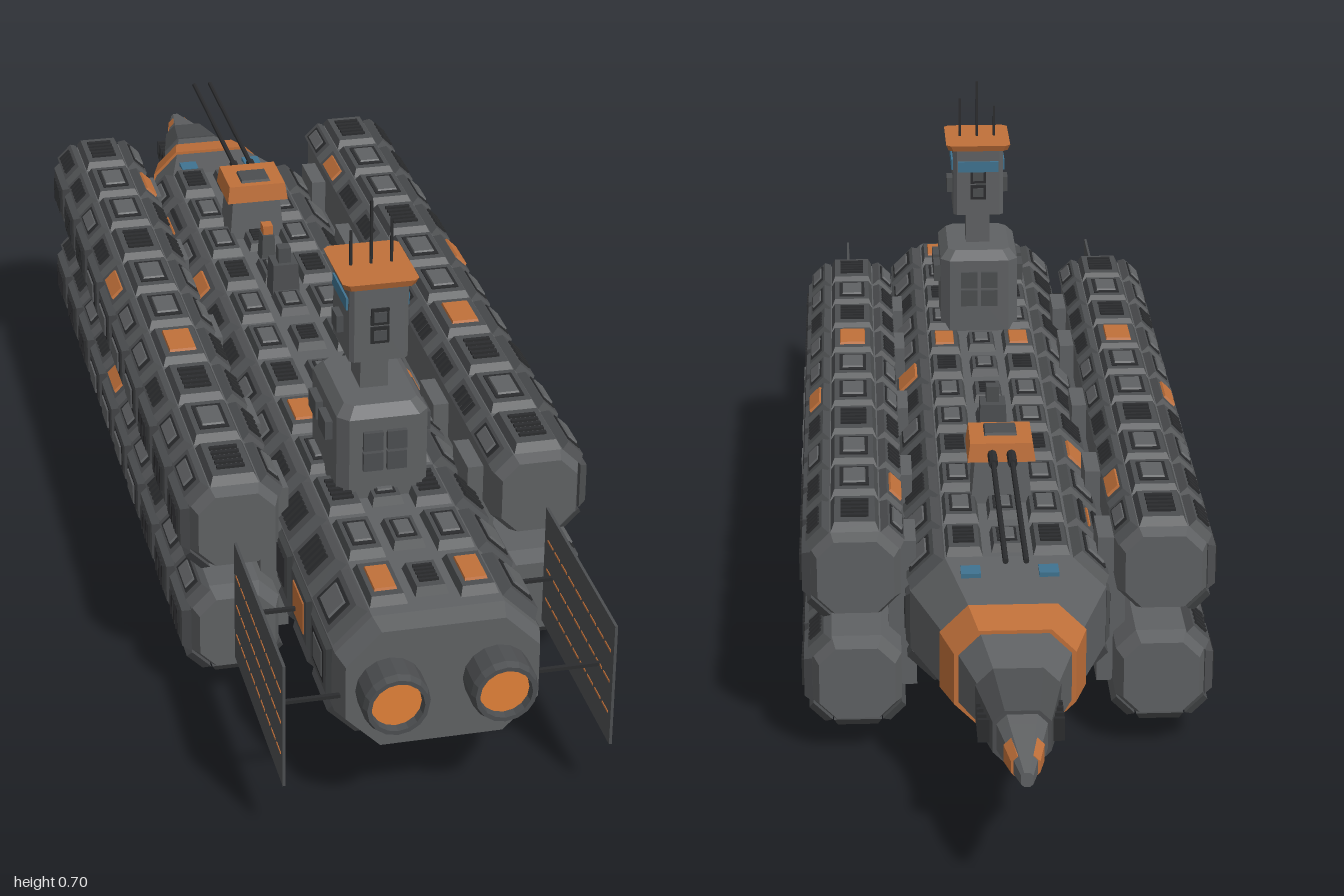
import * as THREE from 'three';
import { mergeGeometries } from 'three/addons/utils/BufferGeometryUtils.js';

const mat = (color) => new THREE.MeshStandardMaterial({ color, flatShading: true, side: THREE.DoubleSide });
const M = {
  hull: mat(0x5f6163), plate: mat(0x4c4e50), dark: mat(0x2b2c2e),
  orange: mat(0xc0703a), glow: mat(0xe08038), glass: mat(0x3f7390),
};

// Collects pieces by colour, then merges each colour into one mesh
class Part {
  constructor(name) { this.name = name; this.lists = {}; }
  add(color, geo, matrix) {
    const g = geo.index ? geo.toNonIndexed() : geo;
    g.deleteAttribute('uv');
    if (matrix) g.applyMatrix4(matrix);
    (this.lists[color] ??= []).push(g);
    return this;
  }
  // Axis-aligned block from min/max corners, top optionally tapered
  block(color, x0, x1, y0, y1, z0, z1, taper = 1) {
    return this.add(color, slab(x1 - x0, y1 - y0, z1 - z0, taper),
      new THREE.Matrix4().makeTranslation((x0 + x1) / 2, y0, (z0 + z1) / 2));
  }
  build(parent) {
    const group = new THREE.Group();
    group.name = this.name;
    for (const [color, list] of Object.entries(this.lists)) {
      const mesh = new THREE.Mesh(mergeGeometries(list), M[color]);
      mesh.name = `${this.name} ${color}`;
      group.add(mesh);
    }
    parent.add(group);
  }
}

// Box standing on y = 0 whose top face is shrunk
function slab(w, h, d, taper = 1) {
  const g = new THREE.BoxGeometry(w, h, d).translate(0, h / 2, 0);
  const p = g.attributes.position;
  for (let i = 0; i < p.count; i++)
    if (p.getY(i) > h / 2) p.setXYZ(i, p.getX(i) * taper, h, p.getZ(i) * taper);
  g.computeVertexNormals();
  return g;
}

function octagon(cx, cy, hw, hh, c) {
  return [[hw, -hh + c], [hw, hh - c], [hw - c, hh], [c - hw, hh],
    [-hw, hh - c], [-hw, c - hh], [c - hw, -hh], [hw - c, -hh]].map(([x, y]) => [cx + x, cy + y]);
}

// Octagonal sections [z, cx, cy, hw, hh, c], ordered from +z to -z
function loft(sections) {
  const rings = sections.map(([z, ...o]) => octagon(...o).map(([x, y]) => [x, y, z]));
  const v = [], last = rings[rings.length - 1];
  for (let r = 0; r < rings.length - 1; r++)
    for (let i = 0; i < 8; i++) {
      const j = (i + 1) % 8, a = rings[r], b = rings[r + 1];
      v.push(...a[i], ...b[i], ...b[j], ...a[i], ...b[j], ...a[j]);
    }
  for (let i = 1; i < 7; i++)
    v.push(...rings[0][0], ...rings[0][i], ...rings[0][i + 1], ...last[0], ...last[i + 1], ...last[i]);
  const g = new THREE.BufferGeometry();
  g.setAttribute('position', new THREE.Float32BufferAttribute(v, 3));
  g.computeVertexNormals();
  return g;
}

// Matrix at the middle of octagon face k (0 = up, clockwise), local +y outward
function faceMatrix(k, [cx, cy, hw, hh, c], z, shift = 0) {
  const a = k * Math.PI / 4, s = Math.sign(Math.round(Math.sin(a) * 9)), t = Math.sign(Math.round(Math.cos(a) * 9));
  const cut = k % 2 ? c / 2 : 0;
  return new THREE.Matrix4().makeTranslation(cx + s * (hw - cut), cy + t * (hh - cut), z)
    .multiply(new THREE.Matrix4().makeRotationZ(-a))
    .multiply(new THREE.Matrix4().makeTranslation(shift, 0, 0));
}
const faceWidth = (k, [, , hw, hh, c]) => k % 2 ? c * Math.SQRT2 : 2 * ((k % 4 ? hh : hw) - c);

// Armour plate: 0 vents, 1 hatch, 2 twin ribs, 3 coloured hatch
function plate(part, m, w, len, h, style) {
  const put = (color, pw, ph, pd, x, y, z, t = 1) =>
    part.add(color, slab(pw, ph, pd, t), m.clone().multiply(new THREE.Matrix4().makeTranslation(x, y, z)));
  put('plate', w, h, len, 0, 0, 0, 0.84);
  if (style === 0) {
    for (let i = -2; i <= 2; i++) put('dark', w * 0.58, h * 0.3, len * 0.06, 0, h, i * len * 0.12);
  } else if (style === 1) {
    put('dark', w * 0.62, h * 0.15, len * 0.62, 0, h, 0);
    put('hull', w * 0.5, h * 0.35, len * 0.5, 0, h, 0, 0.9);
  } else if (style === 2) {
    for (const s of [-1, 1]) put('dark', w * 0.12, h * 0.3, len * 0.7, s * w * 0.22, h, 0);
    put('orange', w * 0.05, h * 0.2, len * 0.6, 0, h, 0);
  } else put('orange', w * 0.6, h * 0.3, len * 0.6, 0, h, 0, 0.95);
}
const styleOf = (i, k) => { const n = (i * 7 + k * 5 + i * k * 3) % 17; return n === 4 ? 3 : n === 9 ? 2 : n % 2; };

const HULL = [0, 0.195, 0.14, 0.095, 0.05];

function addHull(root) {
  const hull = new Part('main hull');
  hull.add('hull', loft([[0.95, 0, 0.195, 0.132, 0.088, 0.048], [0.92, ...HULL], [-0.52, ...HULL],
    [-0.68, 0, 0.192, 0.087, 0.073, 0.034], [-0.8, 0, 0.19, 0.05, 0.046, 0.02],
    [-0.9, 0, 0.188, 0.03, 0.029, 0.012], [-1, 0, 0.187, 0.008, 0.01, 0.004]]));
  hull.build(root);

  const armour = new Part('hull armour');
  for (let i = 0; i < 12; i++) {
    const z = 0.85 - i * 0.12;
    for (let k = 0; k < 8; k++) {
      if (k % 4) {
        plate(armour, faceMatrix(k, HULL, z), faceWidth(k, HULL) * 0.92, 0.108, k % 2 ? 0.014 : 0.006, styleOf(i, k));
        continue;
      }
      for (const s of [-1, 0, 1]) {
        const style = s && (i === 0 || i === 4) ? 3 : (i + Math.abs(s) + k) % 3 ? 1 : 0;
        plate(armour, faceMatrix(k, HULL, z, s * 0.062), s ? 0.052 : 0.046, s ? 0.1 : 0.075, 0.012, style);
      }
    }
  }
  armour.build(root);

  const nose = new Part('nose details');
  nose.add('orange', loft([[-0.65, 0, 0.1925, 0.102, 0.082, 0.04], [-0.71, 0, 0.191, 0.084, 0.072, 0.034]]));
  nose.add('plate', loft([[-0.785, 0, 0.19, 0.058, 0.052, 0.024], [-0.88, 0, 0.188, 0.039, 0.038, 0.016]]));
  nose.add('orange', loft([[-0.925, 0, 0.1876, 0.027, 0.022, 0.01], [-0.965, 0, 0.1873, 0.019, 0.016, 0.008]]));
  for (const s of [-1, 1]) {
    nose.block('glass', s * 0.055 - 0.014, s * 0.055 + 0.014, 0.26, 0.288, -0.575, -0.545);
    for (let i = 0; i < 4; i++)
      nose.block('dark', s * 0.05 - 0.008, s * 0.05 + 0.008, 0.172, 0.205, -0.815 - i * 0.016, -0.809 - i * 0.016);
  }
  nose.build(root);
}

function addEngine(root, s) {
  const e = new Part(s > 0 ? 'left engine' : 'right engine');
  const at = new THREE.Matrix4().makeTranslation(s * 0.073, 0.197, 0);
  const ring = [[0.046, 0.94], [0.046, 0.99], [0.042, 1], [0.036, 1], [0.034, 0.985]].map(([r, y]) => new THREE.Vector2(r, y));
  e.add('plate', new THREE.LatheGeometry(ring, 16).rotateX(Math.PI / 2), at);
  e.add('glow', new THREE.CircleGeometry(0.036, 24).translate(0, 0, 0.988), at);
  e.build(root);
}

function addPod(root, s, upper) {
  const pod = new Part(`${upper ? 'upper' : 'lower'} ${s > 0 ? 'left' : 'right'} pod`);
  const o = [s * 0.2165, upper ? 0.283 : 0.119, 0.0635, 0.0635, 0.028];
  const end = [o[0], o[1], 0.054, 0.054, 0.024];
  pod.add('hull', loft([[0.655, ...end], [0.63, ...o], [-0.545, ...o], [-0.57, ...end]]));
  for (const face of upper ? [7, 0, 1, 2, 3] : [1, 2, 3, 4, 5]) {
    const k = s > 0 ? face : (8 - face) % 8;
    for (let i = 0; i < 10; i++)
      plate(pod, faceMatrix(k, o, 0.585 - i * 0.1205), faceWidth(k, o) * 0.96, 0.112, 0.012, styleOf(i, face));
  }
  pod.build(root);
}

function addSide(root, s) {
  const side = s > 0 ? 'left' : 'right';
  const struts = new Part(`${side} pod struts`);
  for (const z of [-0.45, -0.2, 0.08, 0.36, 0.55])
    struts.block('hull', s * 0.15 - 0.02, s * 0.15 + 0.02, 0.078, 0.303, z - 0.04, z + 0.04);
  struts.build(root);

  // Radiator fin on two thin rods
  const fin = new Part(`${side} radiator fin`);
  fin.block('plate', s * 0.223 - 0.002, s * 0.223 + 0.002, 0.09, 0.275, 0.675, 0.99);
  for (const y of [0.135, 0.183, 0.23])
    for (let i = 0; i < 9; i++)
      fin.block('orange', s * 0.223 - 0.003, s * 0.223 + 0.003, y - 0.0015, y + 0.0015, 0.69 + i * 0.033, 0.715 + i * 0.033);
  for (const z of [0.715, 0.935])
    fin.block('dark', s * 0.18 - 0.044, s * 0.18 + 0.044, 0.181, 0.186, z - 0.003, z + 0.003);
  fin.build(root);
}

function addTower(root) {
  const t = new Part('command tower');
  const up = new THREE.Matrix4().makeTranslation(0, 0, 0.53).multiply(new THREE.Matrix4().makeRotationX(-Math.PI / 2));
  t.add('hull', loft([[0.43, 0, 0, 0.052, 0.075, 0.012], [0.415, 0, 0, 0.065, 0.09, 0.015], [0.285, 0, 0, 0.065, 0.09, 0.015]]), up);
  t.block('hull', -0.02, 0.02, 0.43, 0.49, 0.5, 0.556);
  t.add('hull', loft([[0.6, 0, 0, 0.042, 0.054, 0.006], [0.486, 0, 0, 0.042, 0.054, 0.006]]), up);
  t.add('orange', loft([[0.61, 0, 0, 0.054, 0.066, 0.008], [0.6, 0, 0, 0.05, 0.062, 0.008]]), up);
  // Base windows, side hatches, head windows and vents
  for (const x of [-0.017, 0.017]) for (const y of [0.336, 0.368])
    t.block('plate', x - 0.014, x + 0.014, y, y + 0.028, 0.435, 0.627);
  for (const s of [-1, 1]) {
    for (const z of [0.5, 0.56]) t.block('plate', s * 0.068 - 0.008, s * 0.068 + 0.008, 0.368, 0.396, z - 0.022, z + 0.022);
    t.block('glass', s * 0.041 - 0.004, s * 0.041 + 0.004, 0.562, 0.58, 0.488, 0.572);
    t.block('plate', s * 0.045 - 0.007, s * 0.045 + 0.007, 0.515, 0.54, 0.515, 0.545);
  }
  t.block('glass', -0.034, 0.034, 0.562, 0.58, 0.472, 0.48);
  for (const y of [0.514, 0.542]) {
    t.block('dark', -0.013, 0.013, y, y + 0.025, 0.472, 0.587);
    t.block('plate', -0.009, 0.009, y + 0.005, y + 0.02, 0.47, 0.589);
  }
  for (const [x, y] of [[-0.029, 0.662], [0, 0.705], [0.029, 0.676]])
    t.block('dark', x - 0.0018, x + 0.0018, 0.605, y, 0.528, 0.532);
  t.build(root);
}

// Twin-barrel turret built upright; sign -1 hangs it below the hull
function addTurret(root, name, z, y, sign) {
  const t = new Part(name);
  const flip = new THREE.Matrix4().makeTranslation(0, y, z).multiply(new THREE.Matrix4().makeRotationZ(sign > 0 ? 0 : Math.PI));
  t.add('hull', slab(0.09, 0.075, 0.08, 0.85), flip);
  t.add('orange', slab(0.1, 0.028, 0.095, 0.92).translate(0, 0.068, 0), flip);
  t.add('plate', slab(0.05, 0.006, 0.045, 0.9).translate(0, 0.094, 0.01), flip);
  for (const x of [-0.014, 0.014]) {
    t.add('dark', new THREE.CylinderGeometry(0.004, 0.004, 0.4, 8).rotateX(Math.PI / 2).translate(x, 0.08, -0.235), flip);
    t.add('dark', new THREE.CylinderGeometry(0.007, 0.007, 0.05, 8).rotateX(Math.PI / 2).translate(x, 0.08, -0.06), flip);
  }
  t.build(root);
}

export function createModel() {
  const root = new THREE.Group();
  root.name = 'spaceship';
  addHull(root);
  for (const s of [-1, 1]) {
    addEngine(root, s);
    addPod(root, s, true);
    addPod(root, s, false);
    addSide(root, s);
  }
  addTower(root);
  addTurret(root, 'top turret', -0.285, 0.29, 1);
  addTurret(root, 'bottom turret', -0.095, 0.105, -1);
  // Small deck equipment
  const deck = new Part('deck equipment');
  deck.block('plate', -0.022, 0.022, 0.29, 0.345, -0.065, -0.02, 0.9).block('plate', -0.01, 0.01, 0.345, 0.37, -0.05, -0.03);
  deck.block('plate', -0.012, 0.012, 0.29, 0.335, -0.185, -0.15, 0.8).block('orange', -0.008, 0.008, 0.335, 0.35, -0.178, -0.158);
  deck.build(root);
  return root;
}
